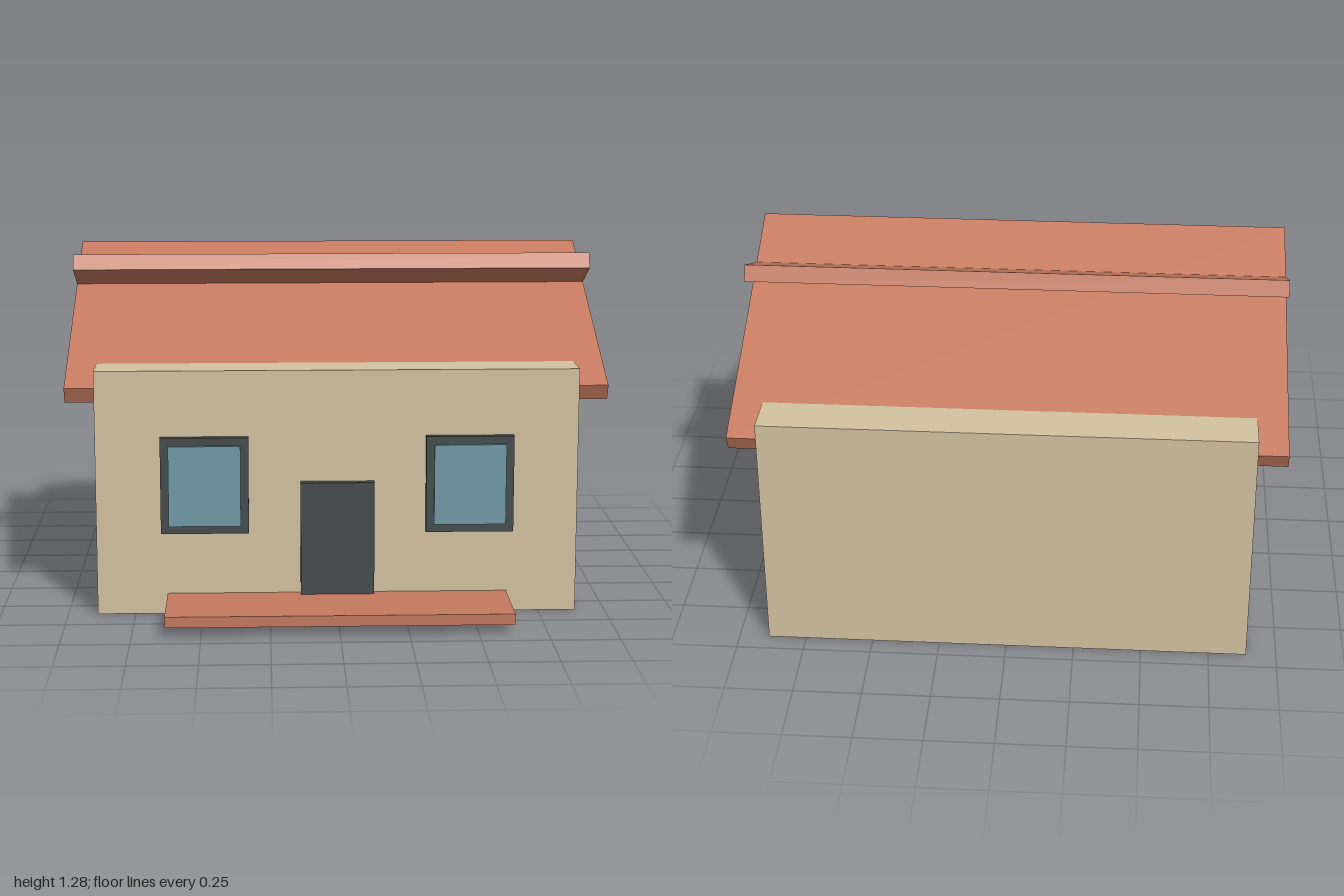
import * as THREE from 'three';

const paint = (color) => new THREE.MeshStandardMaterial({ color });

export function createModel() {
  const house = new THREE.Group();
  house.name = 'house';
  const wall = paint(0xd2c2a0);
  const tile = paint(0xc4795e);
  const dark = paint(0x444b4d);
  const glass = paint(0x6f9aa6);

  // Box given by its size and centre
  function box(name, material, [w, h, d], [x, y, z]) {
    const mesh = new THREE.Mesh(new THREE.BoxGeometry(w, h, d), material);
    mesh.name = name;
    mesh.position.set(x, y, z);
    house.add(mesh);
    return mesh;
  }

  const front = 0.613;
  const back = -0.927;
  const ridgeZ = (front + back) / 2;

  // Walls
  box('walls', wall, [1.78, 0.915, front - back], [0, 0.4575, ridgeZ]);

  // Two roof slabs that cross above the ridge line
  for (const side of [1, -1]) {
    const name = side > 0 ? 'frontRoofSlab' : 'backRoofSlab';
    const slab = box(name, tile, [2, 0.062, 1.066], [0, 1.036, ridgeZ + side * 0.25]);
    slab.rotation.x = side * 0.415;
  }

  // Door and porch
  box('door', dark, [0.272, 0.5, 0.032], [0, 0.25, front + 0.016]);
  box('porch', tile, [1.26, 0.04, 0.315], [0, 0.057, front + 0.1575]);

  // Windows on either side of the door
  for (const side of [1, -1]) {
    const label = side > 0 ? 'left' : 'right';
    box(label + 'WindowFrame', dark, [0.324, 0.36, 0.026], [side * 0.489, 0.49, front + 0.013]);
    box(label + 'WindowPane', glass, [0.265, 0.3, 0.036], [side * 0.489, 0.49, front + 0.018]);
  }

  return house;
}
